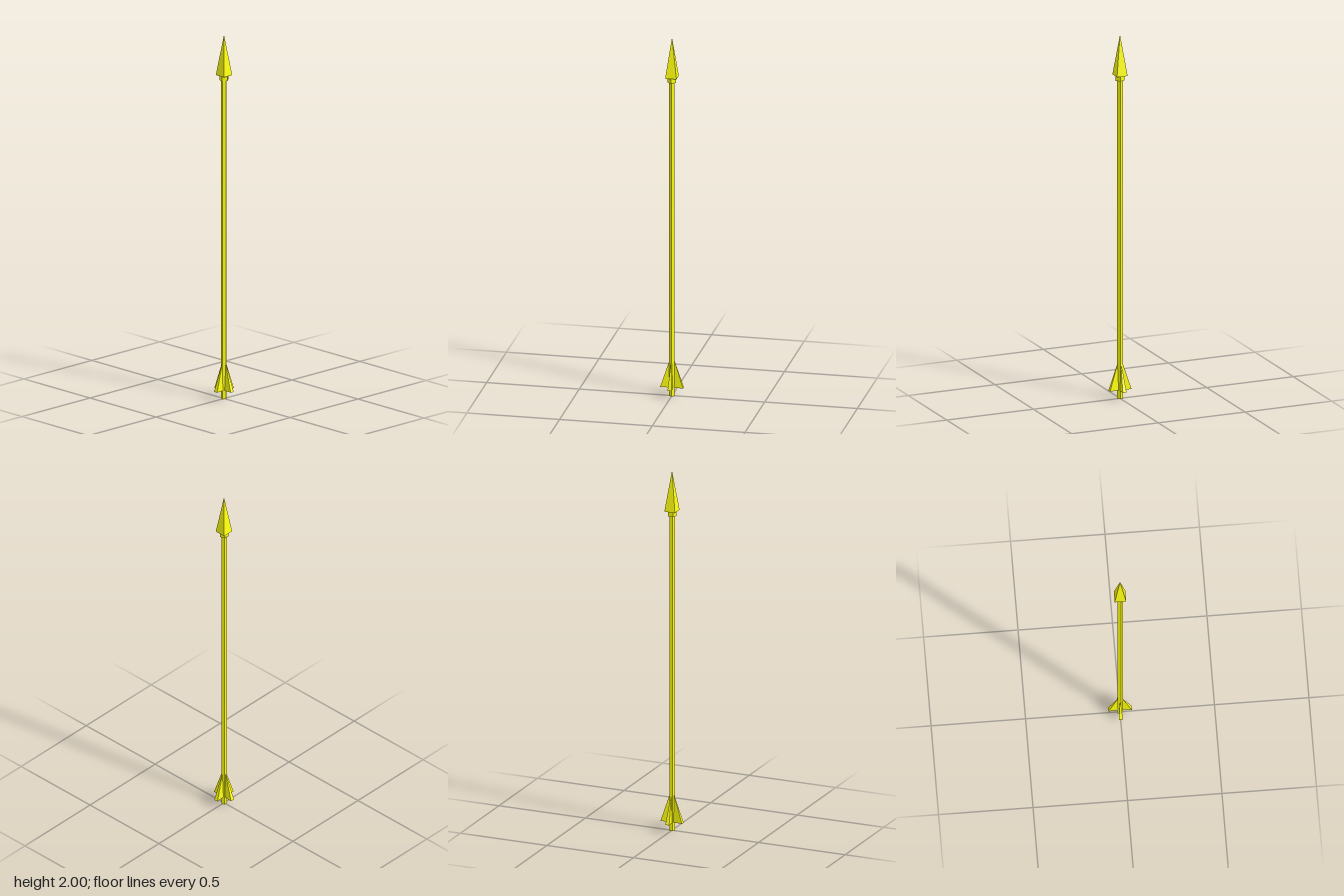
import * as THREE from 'three';

export function createModel() {
  const model = new THREE.Group();
  model.name = 'arrow';
  const material = new THREE.MeshStandardMaterial({ color: 0xffff10, flatShading: true });

  const add = (name, geometry) => {
    const mesh = new THREE.Mesh(geometry, material);
    mesh.name = name;
    model.add(mesh);
    return mesh;
  };

  // Upright prism or cone from y0 to y1, with a corner at the given turn from +z
  const prism = (name, sides, radiusBottom, radiusTop, y0, y1, turn) => {
    const geometry = new THREE.CylinderGeometry(radiusTop, radiusBottom, y1 - y0, sides);
    geometry.rotateY(turn);
    add(name, geometry).position.y = (y0 + y1) / 2;
  };

  // Five-sided shaft and collar with a corner towards +x, four-sided head
  prism('shaft', 5, 0.016, 0.016, 0, 1.77, Math.PI / 2);
  prism('collar', 5, 0.025, 0.025, 1.75, 1.779, Math.PI / 2);
  prism('head', 4, 0.0305 * Math.SQRT2, 0, 1.778, 2, Math.PI / 4);

  // Fin: a wedge that is thick at its low outer edge and sharp at the top by the shaft
  const finGeometry = () => {
    const corners = [ // x, y, half thickness: inner bottom, outer bottom, top, inner top
      [0.006, 0.047, 0.006], [0.062, 0.047, 0.011], [0.012, 0.2, 0.001], [0.006, 0.2, 0.001],
    ];
    const positions = [];
    for (const s of [1, -1]) for (const [x, y, t] of corners) positions.push(x, y, s * t);
    const index = [0, 1, 2, 0, 2, 3, 4, 6, 5, 4, 7, 6];
    for (let i = 0; i < 4; i++) {
      const j = (i + 1) % 4;
      index.push(i, i + 4, j, j, i + 4, j + 4);
    }
    const geometry = new THREE.BufferGeometry();
    geometry.setAttribute('position', new THREE.Float32BufferAttribute(positions, 3));
    geometry.setIndex(index);
    const flat = geometry.toNonIndexed();
    flat.computeVertexNormals();
    return flat;
  };
  const fin = finGeometry();
  ['leftFin', 'backFin', 'rightFin', 'frontFin'].forEach((name, i) => {
    add(name, fin).rotation.y = i * Math.PI / 2;
  });

  return model;
}
